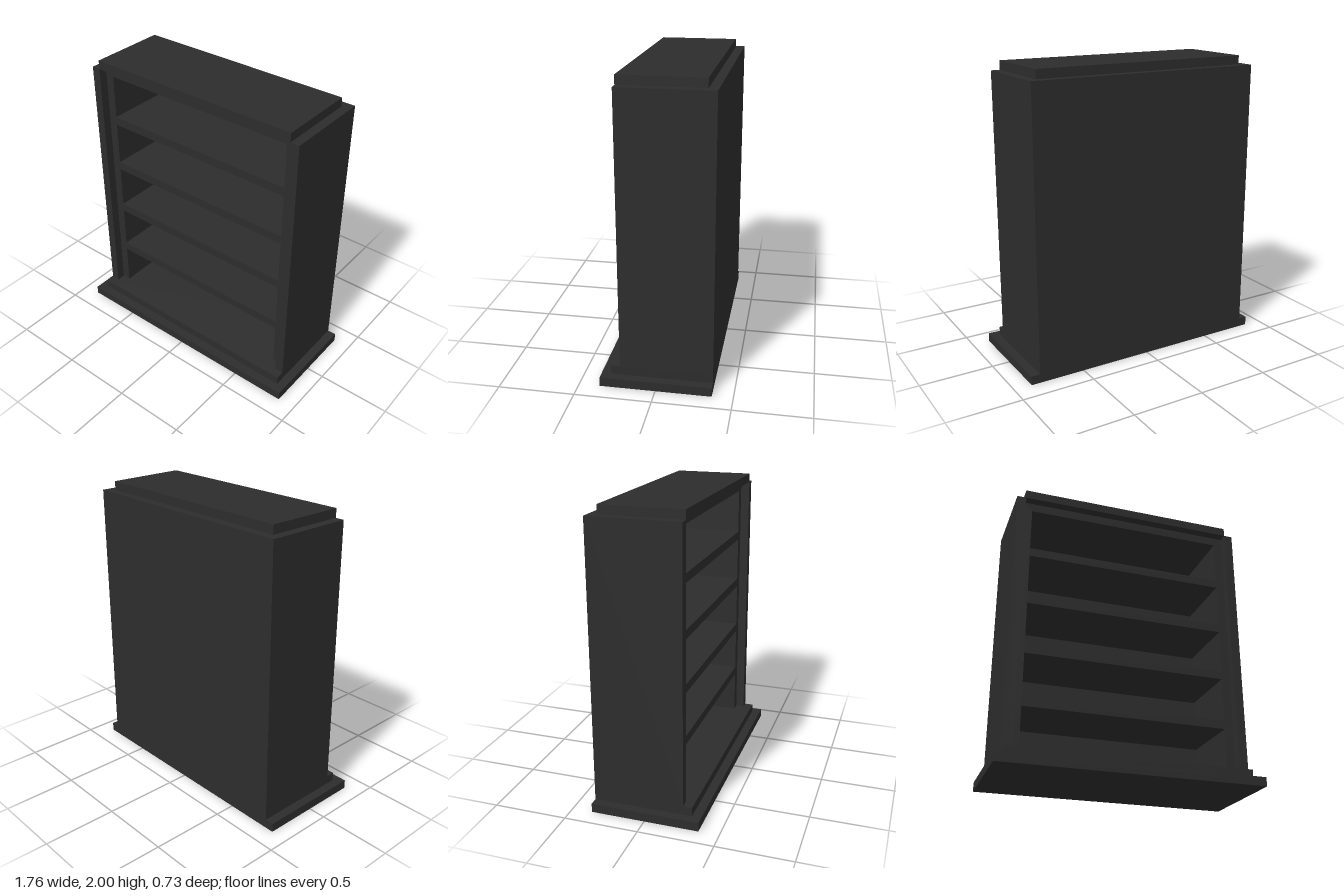
import * as THREE from 'three';

// one board thickness: the whole bookcase is laid out on this module
const U = 2 / 33;

export function createModel() {
  const group = new THREE.Group();
  const black = new THREE.MeshStandardMaterial({ color: 0x2d2d2d });
  black.name = 'charcoal black';

  const add = (name, geometry) => {
    geometry.scale(U, U, U);
    const mesh = new THREE.Mesh(geometry, black);
    mesh.name = name;
    group.add(mesh);
  };
  // box given by its width and its y and z ranges, in modules
  const slab = (name, width, y0, y1, z0, z1) =>
    add(name, new THREE.BoxGeometry(width, y1 - y0, z1 - z0)
      .translate(0, (y0 + y1) / 2, (z0 + z1) / 2));
  const points = (list) => list.map(([x, y]) => new THREE.Vector2(x, y));

  // stepped foot and cap
  slab('base', 29, 0, 1, -6, 6);
  slab('plinth', 27, 1, 2, -6, 5);
  slab('cap', 25, 32, 33, -5, 4);

  // sides and back: a U-shaped plan raised upright (shape y becomes -z)
  const plan = new THREE.Shape(points([
    [-13.5, -4], [-12.5, -4], [-12.5, 5], [12.5, 5],
    [12.5, -4], [13.5, -4], [13.5, 6], [-13.5, 6],
  ]));
  add('sidesAndBack', new THREE.ExtrudeGeometry(plan, { depth: 30, bevelEnabled: false })
    .rotateX(-Math.PI / 2).translate(0, 2, 0));

  // recessed shelves: the lowest bay is open down to the plinth
  const front = new THREE.Shape(points([
    [-12.5, 2], [-11.5, 2], [-11.5, 7], [11.5, 7],
    [11.5, 2], [12.5, 2], [12.5, 32], [-12.5, 32],
  ]));
  for (let i = 1; i < 5; i++) {
    const y = 2 + i * 6;
    front.holes.push(new THREE.Path(points([
      [-11.5, y], [-11.5, y + 5], [11.5, y + 5], [11.5, y],
    ])));
  }
  add('shelves', new THREE.ExtrudeGeometry(front, { depth: 8, bevelEnabled: false })
    .translate(0, 0, -5));

  return group;
}
